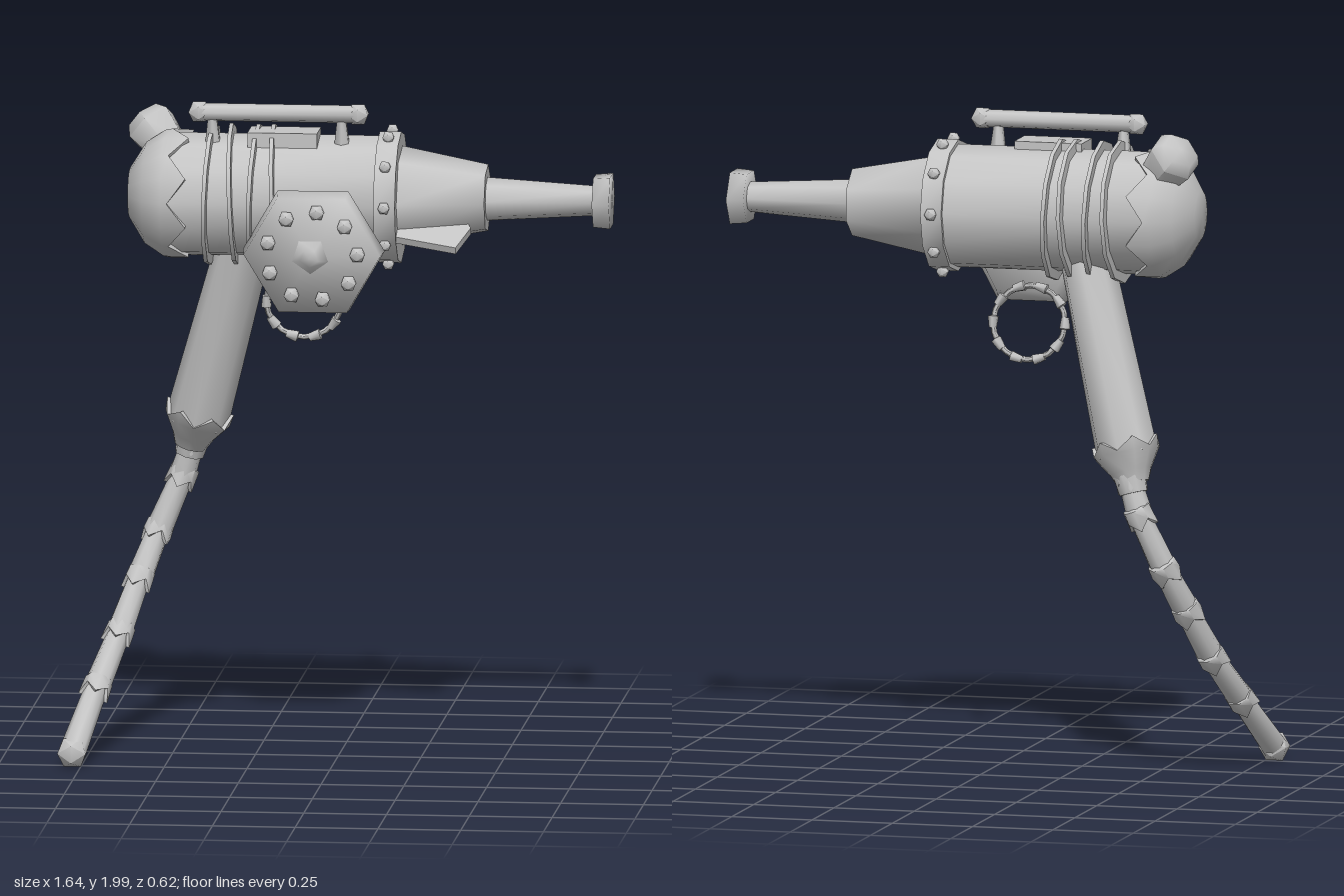
import * as THREE from 'three';
import { toCreasedNormals } from 'three/addons/utils/BufferGeometryUtils.js';

const metal = new THREE.MeshStandardMaterial({ color: 0xc4c4c4 });
metal.name = 'grey metal';
const V = (x, y, z) => new THREE.Vector3(x, y, z);
const UP = V(0, 1, 0);
const SOFT = 1.75; // crease angle that also rounds right-angled edges

export function createModel() {
  const root = new THREE.Group();
  root.name = 'steamPistol';

  const add = (name, geo, pos, crease = 1.1) => {
    const mesh = new THREE.Mesh(toCreasedNormals(geo, crease), metal);
    mesh.name = name;
    mesh.position.copy(pos);
    root.add(mesh);
    return mesh;
  };

  // Turned part: profile of [radius, distance] pairs along a direction;
  // teeth pulls every other vertex of the last rows back along the axis
  const turned = (name, profile, origin, dir, sides, { teeth, crease } = {}) => {
    const geo = new THREE.LatheGeometry(profile.map(([r, t]) => new THREE.Vector2(r, t)), sides);
    if (teeth) {
      const p = geo.attributes.position, n = profile.length;
      for (let i = 0; i <= sides; i += 2) {
        for (const k of [i * n + n - 2, i * n + n - 1]) p.setY(k, p.getY(k) - teeth);
      }
    }
    const mesh = add(name, geo, origin, crease);
    mesh.quaternion.setFromUnitVectors(UP, dir.clone().normalize());
    return mesh;
  };
  const rod = (name, a, b, ra, rb, sides) => {
    const d = b.clone().sub(a), l = d.length();
    return turned(name, [[0, 0], [ra, 0], [rb, l], [0, l]], a, d, sides);
  };
  const stud = (name, pos, r) => add(name, new THREE.IcosahedronGeometry(r, 0), pos, 0.9);

  // Body, barrel and muzzle share one axis
  const axis = V(0, 1.705, -0.056), X = V(1, 0, 0);
  const along = (name, profile, sides, options) => turned(name, profile, axis, X, sides, options);
  along('body', [[0, -0.55], [0.187, -0.53], [0.187, 0.14], [0, 0.14]], 12);
  along('rearCap', [[0, -0.64], [0.075, -0.635], [0.155, -0.585], [0.194, -0.525], [0.197, -0.45], [0.18, -0.45]],
    16, { teeth: 0.055 });
  along('collar', [[0.15, 0.12], [0.2, 0.12], [0.2, 0.185], [0.13, 0.185]], 12);
  along('nozzle', [[0, 0.17], [0.158, 0.17], [0.104, 0.445], [0, 0.445]], 7);
  along('barrel', [[0, 0.43], [0.067, 0.43], [0.045, 0.78], [0, 0.78]], 8);
  along('muzzle', [[0, 0.768], [0.085, 0.768], [0.09, 0.82], [0, 0.82]], 6, { crease: SOFT });

  // Bolts around the collar
  for (let i = 0; i < 10; i++) {
    const a = (i + 0.5) / 10 * Math.PI * 2;
    stud('collarBolt', V(0.152, axis.y + 0.203 * Math.cos(a), axis.z + 0.203 * Math.sin(a)), 0.02);
  }

  // Thin, slightly tilted cooling rings
  [-0.388, -0.32, -0.252, -0.192].forEach((x, i) => {
    const d = V(1, (i % 2 ? 0.04 : -0.03), (i % 2 ? -0.03 : 0.02));
    turned('coolingRing', [[0.17, -0.008], [0.216, -0.006], [0.216, 0.006], [0.17, 0.008]],
      V(x, axis.y, axis.z), d, 12);
  });

  // Carrying bar with ball ends and posts
  rod('topBar', V(-0.42, 1.965, 0), V(0.06, 1.965, 0), 0.027, 0.027, 8);
  for (const x of [-0.42, 0.06]) stud('barEnd', V(x, 1.965, 0), 0.036);
  for (const x of [-0.38, 0.01]) rod('barPost', V(x, 1.85, -0.01), V(x, 1.95, 0), 0.028, 0.015, 6);
  add('topPlate', new THREE.BoxGeometry(0.21, 0.045, 0.12), V(-0.165, 1.888, -0.018));

  // Rear knob
  turned('rearKnob', [[0, 0], [0.06, 0], [0.082, 0.12], [0.06, 0.155], [0, 0.16]],
    V(-0.505, 1.815, -0.1), V(-0.62, 0.65, -0.42), 6);

  // Side fin under the nozzle
  const fin = new THREE.Shape([[0.17, -0.02], [0.17, 0.095], [0.37, 0.155], [0.405, 0.04], [0.38, -0.02]]
    .map(([x, z]) => new THREE.Vector2(x, z)));
  const finGeo = new THREE.ExtrudeGeometry(fin, { depth: 0.022, bevelEnabled: false });
  finGeo.rotateX(Math.PI / 2);
  const finMesh = add('sideFin', finGeo, V(0, 1.648, 0.01));
  finMesh.rotation.x = 0.38;

  // Six-sided side drum with a ring of bolts and a pointed hub
  const drum = new THREE.Group();
  drum.name = 'sideDrum';
  drum.position.set(-0.057, 1.57, 0.22);
  drum.rotation.x = 0.13;
  root.add(drum);
  const shell = turned('drumShell', [[0, -0.14], [0.18, -0.14], [0.214, -0.06], [0.206, 0], [0, 0.004]],
    V(0, 0, 0), V(0, 0, 1), 6, { crease: SOFT });
  shell.rotateY(Math.PI / 6);
  drum.add(shell);
  for (let i = 0; i < 9; i++) {
    const a = i / 9 * Math.PI * 2 + 1.45;
    drum.add(stud('drumBolt', V(0.138 * Math.cos(a), 0.138 * Math.sin(a), 0.006), 0.026));
  }
  drum.add(turned('drumHub', [[0, 0], [0.06, 0], [0.028, 0.03], [0, 0.034]],
    V(-0.005, 0, 0), V(0, 0, 1), 5, { crease: SOFT }));

  // Grip with a toothed end cup
  const gripTop = V(-0.285, 1.58, -0.085), gripEnd = V(-0.448, 0.99, -0.208);
  rod('grip', gripEnd, gripTop, 0.096, 0.083, 8);
  turned('gripCup', [[0, -0.085], [0.05, -0.085], [0.065, -0.05], [0.1, 0.005], [0.104, 0.045], [0.085, 0.045]],
    gripEnd, gripTop.clone().sub(gripEnd), 12, { teeth: 0.035 });

  // Beaded trigger ring
  const ring = new THREE.Group();
  ring.name = 'triggerRing';
  ring.position.set(-0.118, 1.368, -0.122);
  ring.rotation.x = 0.2;
  root.add(ring);
  ring.add(add('ringBand', new THREE.TorusGeometry(0.112, 0.009, 6, 20), V(0, 0, 0)));
  for (let i = 0; i < 10; i++) {
    const a = i / 10 * Math.PI * 2, s = V(-Math.sin(a), Math.cos(a), 0);
    ring.add(turned('ringBead', [[0, -0.02], [0.012, -0.02], [0.017, 0.015], [0, 0.02]],
      V(0.112 * Math.cos(a), 0.112 * Math.sin(a), 0), s, 6));
  }

  // Jointed hose hanging from the grip
  const joints = [[-0.462, 0.92, -0.232], [-0.497, 0.81, -0.243], [-0.567, 0.645, -0.213], [-0.617, 0.51, -0.14],
    [-0.668, 0.36, -0.045], [-0.722, 0.215, 0.092], [-0.776, 0.05, 0.265]].map(p => V(...p));
  rod('hoseCollar', V(-0.46, 0.935, -0.228), V(-0.475, 0.88, -0.236), 0.052, 0.045, 8);
  for (let i = 0; i < joints.length - 1; i++) {
    const a = joints[i], b = joints[i + 1], d = b.clone().sub(a);
    rod('hoseSegment', a, b, 0.035, 0.041, 8);
    // toothed sleeve over each joint
    turned('hoseSleeve', [[0.03, -0.035], [0.043, -0.03], [0.046, 0.035], [0.03, 0.035]], a, d, 8, { teeth: 0.03 });
  }
  stud('hoseTip', joints[6], 0.05);

  return root;
}
